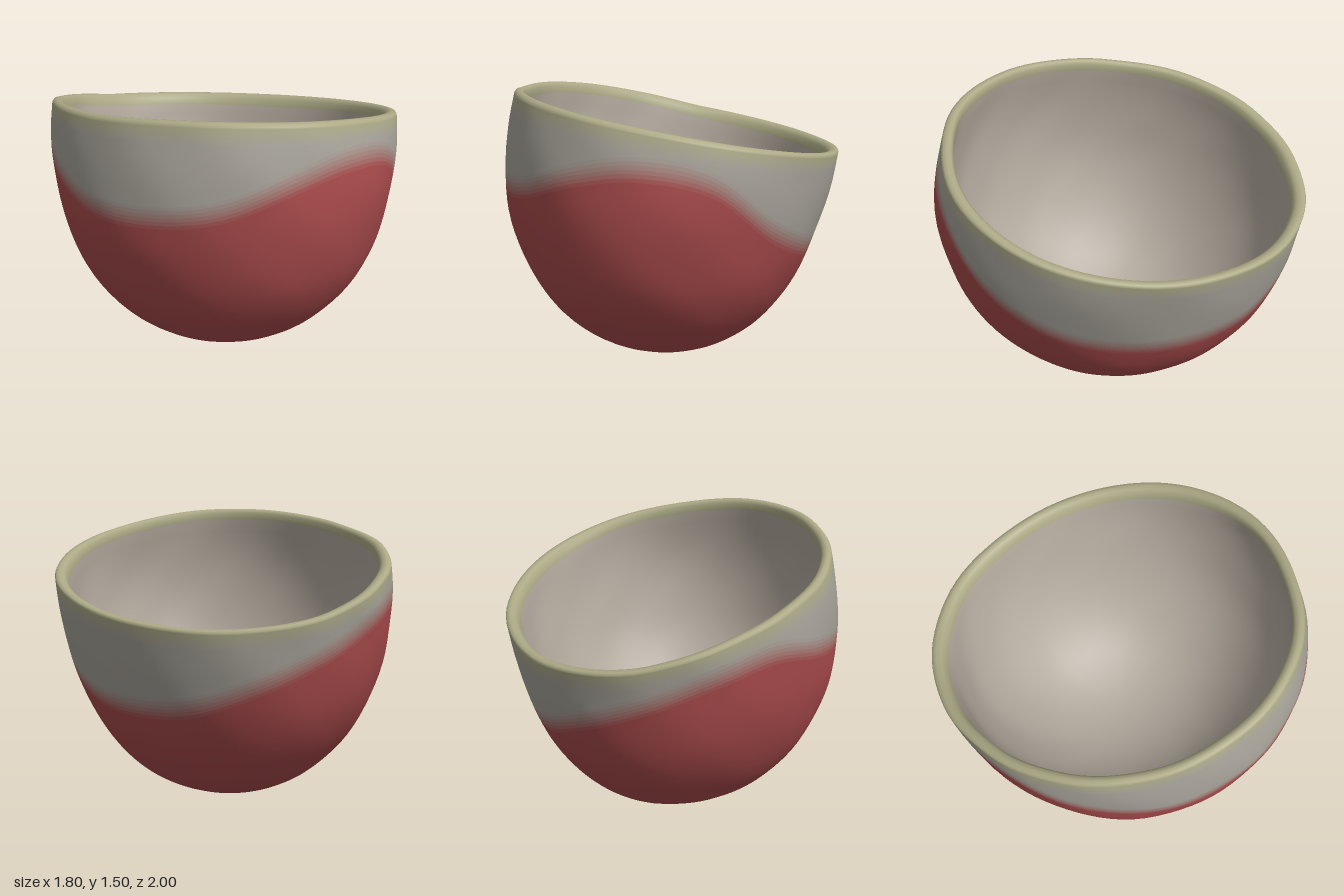
import * as THREE from 'three';

const SEG = 96;
const CX = -0.03, CZ = 0.02; // axis of the bowl
const FLOOR = 0.085, INNER = 0.925; // wall thickness below and at the rim

// Outer half-widths at each height: +x, -x, +z, -z
const heights = [0, 0.03, 0.1, 0.2, 0.4, 0.6, 0.8, 1, 1.15, 1.3, 1.52];
const widths = [
  0, 0, 0, 0,
  0.225, 0.225, 0.245, 0.245,
  0.4, 0.4, 0.44, 0.435,
  0.535, 0.545, 0.595, 0.585,
  0.695, 0.71, 0.785, 0.775,
  0.79, 0.805, 0.9, 0.89,
  0.855, 0.86, 0.955, 0.955,
  0.905, 0.875, 0.98, 0.995,
  0.93, 0.87, 0.975, 1.02,
  0.95, 0.85, 0.95, 1.03,
  0.97, 0.8, 0.895, 1.04,
];
const profile = new THREE.CubicInterpolant(heights.map(Math.sqrt), widths, 4);

// Height of the red glaze edge around the bowl, from +x towards +z
const edge = [0.65, 0.74, 0.92, 1.2, 1.28, 1.22, 1.09, 1.02, 1, 1.07, 1.15, 1.08, 0.95, 0.81, 0.68, 0.64, 0.65];
const glaze = new THREE.CubicInterpolant(edge.map((_, i) => i / 16), edge, 1);
glaze.settings = { endingStart: THREE.WrapAroundEnding, endingEnd: THREE.WrapAroundEnding };

// Point on the wall at angle a; k shrinks the section, yShown is the final height
function wallPoint(a, y, k = 1, yShown = y) {
  const w = profile.evaluate(Math.sqrt(Math.max(0, Math.min(1.52, y))));
  const c = Math.cos(a), s = Math.sin(a);
  // fuller back left, flatter back right, and slight hand-made unevenness
  const back = Math.min(0, s);
  const bump = k * (1 + 0.07 * back * back * c
    + 0.003 * Math.sin(5 * a + 7 * y) + 0.002 * Math.sin(11 * a - 13 * y));
  return [CX + (c > 0 ? w[0] : w[1]) * c * bump, yShown, CZ + (s > 0 ? w[2] : w[3]) * s * bump];
}

// Height of the slanted rim at angle a, bowed up a little at the back right
function rimHeight(a) {
  let y = 1.3;
  for (let i = 0; i < 6; i++) {
    const [x, , z] = wallPoint(a, y);
    y = 1.3 - 0.163 * x + 0.163 * z + 0.07 * Math.min(0, x) * Math.min(0, z);
  }
  return y;
}

export function createModel() {
  const group = new THREE.Group();
  const red = new THREE.Color(0xa84a4b), grey = new THREE.Color(0xa6a299);
  const lipColor = new THREE.Color(0xacaa86), inside = new THREE.Color(0xb2a99d);
  const mix = (a, b, t) => a.clone().lerp(b, t);

  // Rows run up the outside, over the lip and down the inside
  const rows = [], bands = [];
  const band = (name, color, newRows) => {
    const start = Math.max(0, rows.length - 1);
    rows.push(...newRows);
    bands.push({ name, color, start, end: rows.length - 1 });
  };
  const steps = (n, fn, first = 1) => Array.from({ length: n + 1 - first }, (_, i) => fn((i + first) / n));
  const arc = t => 1 - Math.cos(t * Math.PI / 2);

  band('redGlaze', red, steps(26, t => (a, rim, g) => wallPoint(a, (g - 0.07) * arc(t)), 0));
  for (let i = 1; i <= 6; i++) {
    band('glazeFade' + i, mix(red, grey, (i - 0.5) / 6),
      [(a, rim, g) => wallPoint(a, g - 0.07 + 0.02 * i)]);
  }
  band('greyBand', grey, steps(5, t => (a, rim, g) =>
    wallPoint(a, THREE.MathUtils.lerp(g + 0.05, rim - 0.1, t))));
  for (let i = 1; i <= 4; i++) {
    band('lipFade' + i, mix(grey, lipColor, (i - 0.5) / 4),
      [(a, rim) => wallPoint(a, rim - 0.1 + 0.019 * i)]);
  }
  // rounded lip: section scale and drop below the rim
  const lip = [[1, 0.016], [0.993, 0.005], [0.974, 0], [0.95, 0.004], [0.932, 0.022], [INNER, 0.06]];
  band('lip', lipColor, lip.map(([k, d]) => (a, rim) => wallPoint(a, rim - d, k)));
  // the wall thickens slightly towards the floor
  band('interior', inside, steps(28, t => (a, rim) => {
    const h = arc(1 - t), top = rim - 0.06;
    return wallPoint(a, top * h, INNER - 0.02 * (1 - h), FLOOR + (top - FLOOR) * h);
  }));

  // One continuous skin, so normals stay smooth across the colour bands
  const pos = [];
  const rims = [], glazes = [];
  for (let j = 0; j < SEG; j++) {
    rims.push(rimHeight(j / SEG * Math.PI * 2));
    glazes.push(glaze.evaluate(j / SEG)[0]);
  }
  for (const row of rows) {
    for (let j = 0; j < SEG; j++) pos.push(...row(j / SEG * Math.PI * 2, rims[j], glazes[j]));
  }
  const indexRows = (start, end) => {
    const index = [];
    for (let i = start; i < end; i++) {
      for (let j = 0; j < SEG; j++) {
        const a = i * SEG + j, b = i * SEG + (j + 1) % SEG;
        index.push(a, a + SEG, b, b, a + SEG, b + SEG);
      }
    }
    return index;
  };
  const skin = new THREE.BufferGeometry();
  skin.setAttribute('position', new THREE.Float32BufferAttribute(pos, 3));
  skin.setIndex(indexRows(0, rows.length - 1));
  skin.computeVertexNormals();
  // both poles get straight normals
  for (let j = 0; j < SEG; j++) {
    skin.attributes.normal.setXYZ(j, 0, -1, 0);
    skin.attributes.normal.setXYZ((rows.length - 1) * SEG + j, 0, 1, 0);
  }

  // Cut the skin into its coloured bands
  for (const { name, color, start, end } of bands) {
    const geo = new THREE.BufferGeometry();
    for (const key of ['position', 'normal']) {
      const part = skin.attributes[key].array.slice(start * SEG * 3, (end + 1) * SEG * 3);
      geo.setAttribute(key, new THREE.BufferAttribute(part, 3));
    }
    geo.setIndex(indexRows(0, end - start));
    const mesh = new THREE.Mesh(geo, new THREE.MeshStandardMaterial({ color }));
    mesh.name = name;
    group.add(mesh);
  }
  group.name = 'bowl';
  return group;
}
